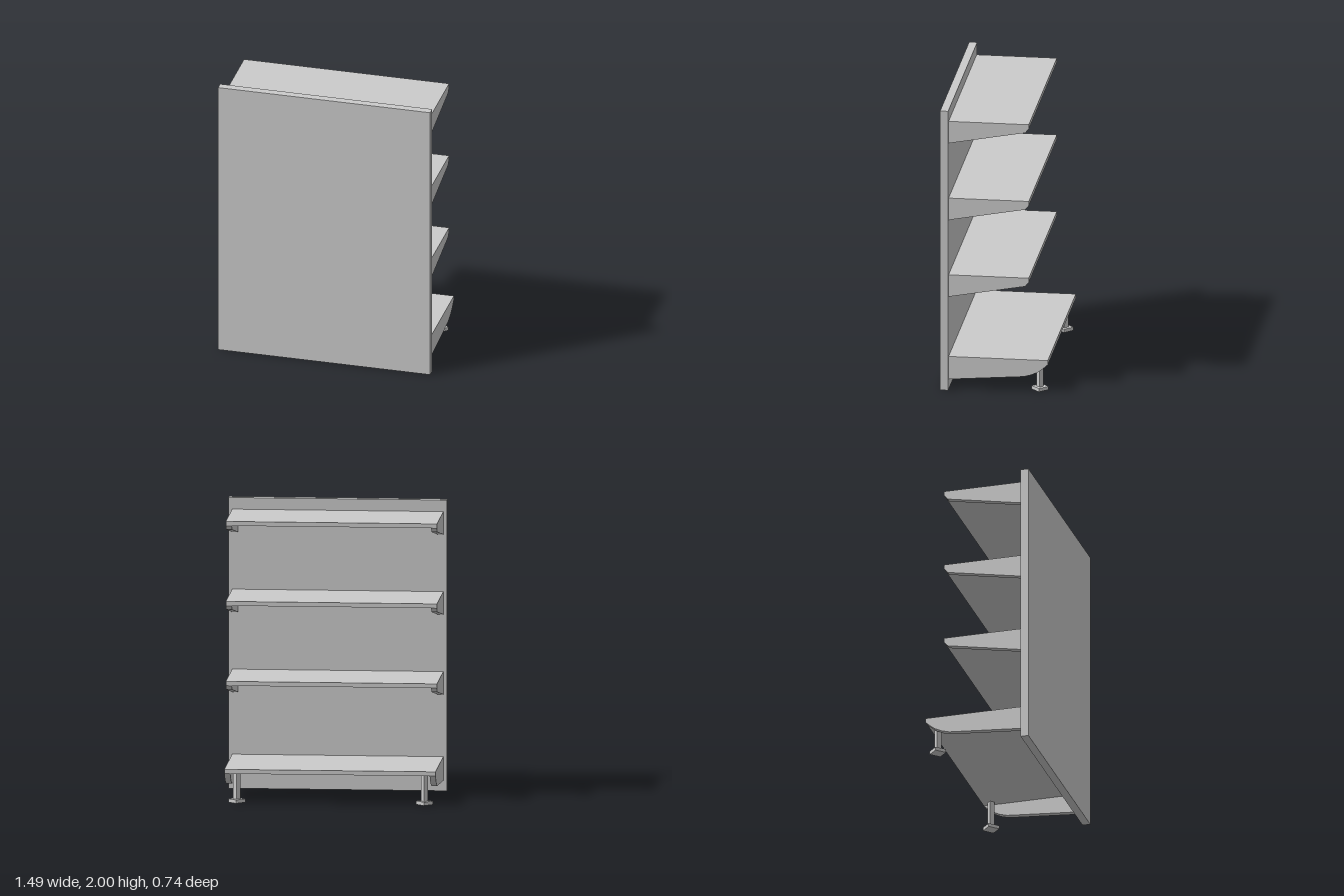
import * as THREE from 'three';

const HALF_W = 0.72;      // half shelf width
const BOARD = 0.03;       // board thickness
const BRACKET = 0.04;     // bracket thickness
const WALL_Z = 0.315;     // face of the panel the shelves hang on

export function createModel() {
  const group = new THREE.Group();
  const grey = new THREE.MeshStandardMaterial({ color: 0xcccccc, flatShading: true });

  function add(parent, name, geometry, x, y, z) {
    const mesh = new THREE.Mesh(geometry, grey);
    mesh.name = name;
    mesh.position.set(x, y, z);
    parent.add(mesh);
    return mesh;
  }

  // Side bracket: outline given as [z, y below the shelf top], extruded along x
  function bracketGeometry(outline) {
    const shape = new THREE.Shape(outline.map(([z, y]) => new THREE.Vector2(-z, y)));
    const geometry = new THREE.ExtrudeGeometry(shape, { depth: BRACKET, bevelEnabled: false });
    geometry.rotateY(Math.PI / 2);
    geometry.translate(-BRACKET / 2, 0, 0);
    return geometry;
  }

  // Shelf: a board with one bracket under each end
  function addShelf(name, top, frontZ, outline) {
    const shelf = new THREE.Group();
    shelf.name = name;
    shelf.position.y = top;
    const depth = WALL_Z - frontZ;
    add(shelf, 'board', new THREE.BoxGeometry(HALF_W * 2, BOARD, depth), 0, -BOARD / 2, (WALL_Z + frontZ) / 2);
    const bracket = bracketGeometry(outline);
    for (const side of [1, -1]) {
      add(shelf, side > 0 ? 'leftBracket' : 'rightBracket', bracket, side * (HALF_W - BRACKET / 2), 0, 0);
    }
    group.add(shelf);
  }

  // Upright panel
  add(group, 'panel', new THREE.BoxGeometry(1.49, 2, 0.055), 0, 1, 0.3425);

  // Three upper shelves with tapering brackets
  const upper = [[WALL_Z, -BOARD], [WALL_Z, -0.157], [-0.21, -0.06], [-0.235, -BOARD]];
  [0.82, 1.37, 1.92].forEach((top, i) => addShelf(`upperShelf${i + 1}`, top, -0.235, upper));

  // Deeper base shelf with a curved bracket nose
  const base = [
    [WALL_Z, -BOARD], [WALL_Z, -0.163], [-0.2, -0.122], [-0.25, -0.108],
    [-0.3, -0.085], [-0.335, -0.058], [-0.365, -BOARD],
  ];
  addShelf('baseShelf', 0.235, -0.365, base);

  // Square feet turned 45 degrees under the base shelf
  const post = new THREE.CylinderGeometry(0.024, 0.024, 0.205, 4);
  const foot = new THREE.CylinderGeometry(0.058, 0.058, 0.024, 4);
  for (const side of [1, -1]) {
    const leg = new THREE.Group();
    leg.name = side > 0 ? 'leftLeg' : 'rightLeg';
    leg.position.set(side * 0.64, 0, -0.302);
    add(leg, 'post', post, 0, 0.1075, 0);
    add(leg, 'foot', foot, 0, 0.012, 0);
    group.add(leg);
  }

  return group;
}
